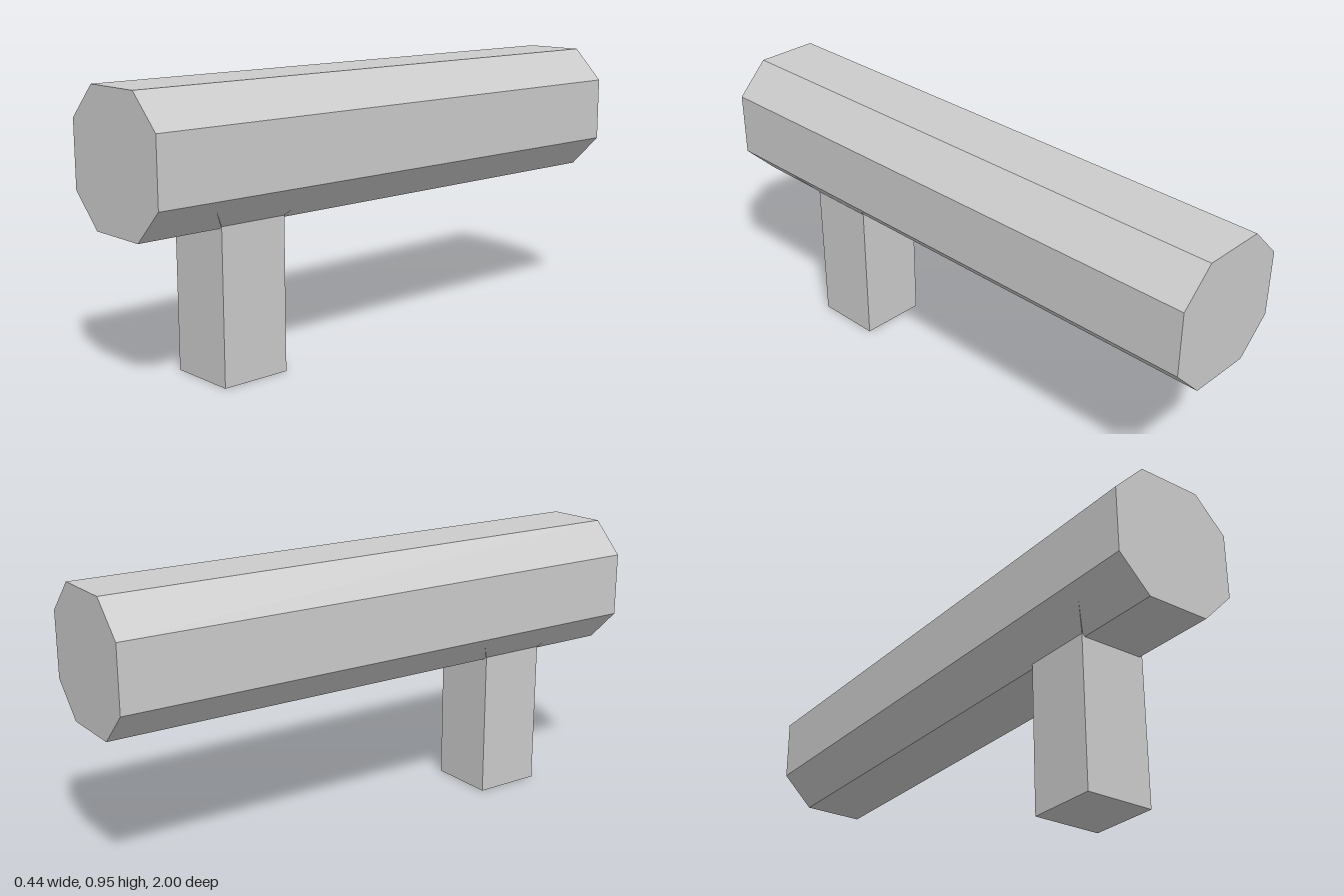
import * as THREE from 'three';

export function createModel() {
  const model = new THREE.Group();
  const material = new THREE.MeshStandardMaterial({ color: 0xcccccc, flatShading: true });
  const gripZ = 0.588;

  const add = (name, geometry, x, y, z) => {
    const mesh = new THREE.Mesh(geometry, material);
    mesh.name = name;
    mesh.position.set(x, y, z);
    model.add(mesh);
    return mesh;
  };

  // Head: long bar with a square section and 45 degree chamfers
  const a = 0.222, b = 0.111;
  const section = new THREE.Shape(
    [[b, -a], [a, -b], [a, b], [b, a], [-b, a], [-a, b], [-a, -b], [-b, -a]]
      .map(([x, y]) => new THREE.Vector2(x, y))
  );
  add('head', new THREE.ExtrudeGeometry(section, { depth: 2, bevelEnabled: false }), 0, 0.729, -1);

  // Handle: square post below the head
  const handleHeight = 0.515;
  add('handle', new THREE.BoxGeometry(0.244, handleHeight, 0.244), 0, handleHeight / 2, gripZ);

  // Collar: square flare joining the post to the chamfered underside
  const flareHeight = 0.104;
  const flare = new THREE.CylinderGeometry(0.2215 * Math.SQRT2, 0.122 * Math.SQRT2, flareHeight, 4);
  flare.rotateY(Math.PI / 4);
  add('collar', flare, 0, handleHeight + flareHeight / 2, gripZ);

  return model;
}
